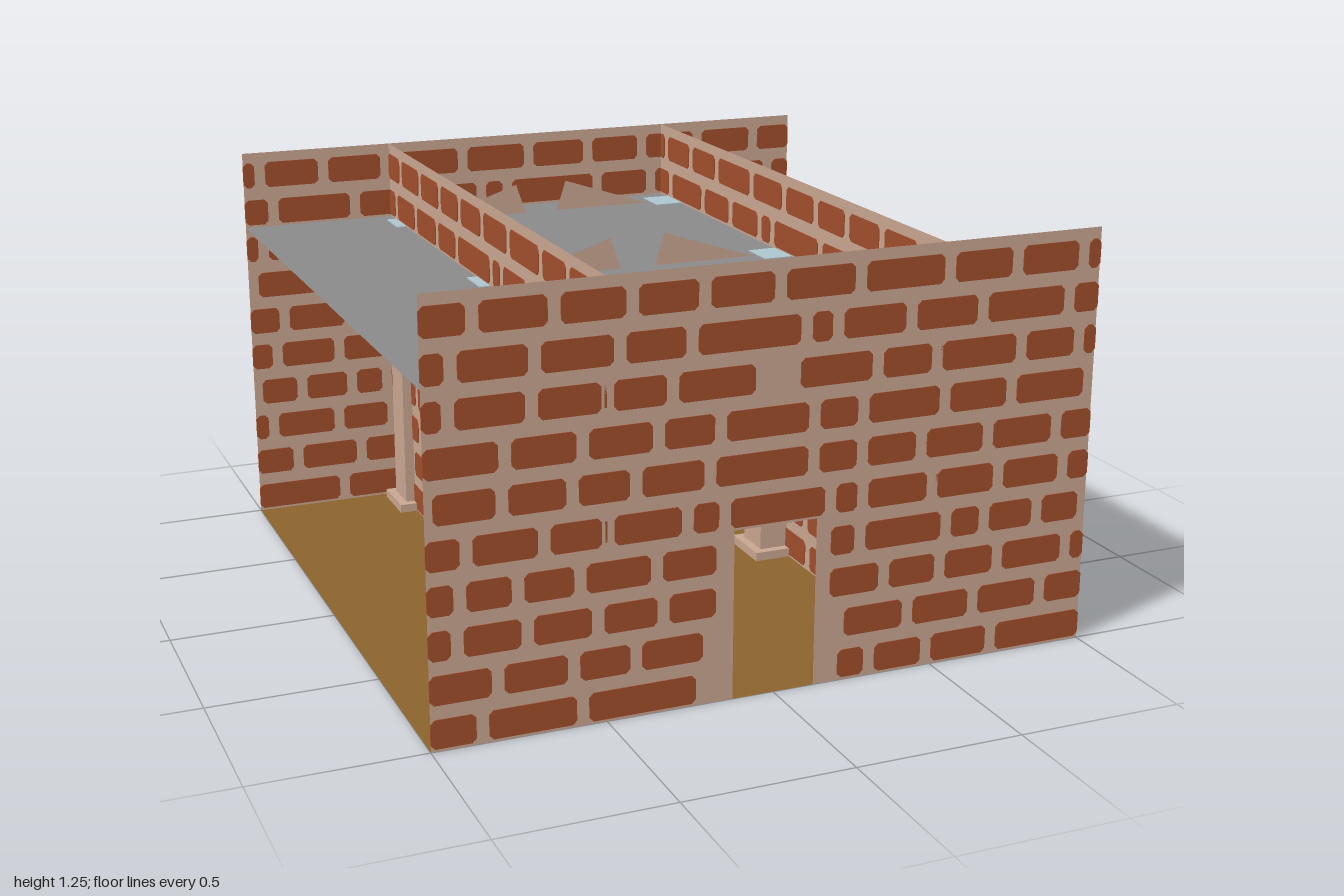
import * as THREE from 'three';
import { mergeGeometries } from 'three/addons/utils/BufferGeometryUtils.js';

const flat = (name, color, side = THREE.FrontSide) => {
  const m = new THREE.MeshStandardMaterial({ color, side });
  m.name = name;
  return m;
};

// Mortar joint positions along each brick course, bottom to top, in hundredths
const JOINTS = [
  [-85.5, -57, -22, 10, 30, 48.5, 70],
  [-81, -59.5, -41.5, -20, 20, 42, 63.5, 86],
  [-92, -72.5, -52.5, -33.5, -10, 15, 34, 52, 71, 94],
  [-91, -75, -57.5, -35.5, -10, 10, 26, 53.5, 66, 83.5, 99],
  [-89, -67.5, -49.5, -26.5, -15.5, 16.5, 26.5, 48.5, 70, 91.5],
  [-99.5, -79, -59.5, -41.5, -20, 11, 26, 44.5, 66, 88.5],
  [-78, -56.5, -35, -17, 11, 26, 51.5, 73, 98.5],
  [-93, -70.5, -49.5, -31, 0, 30, 48.5, 75.5, 94.5],
  [-92, -69.5, -46, -25.5, 8, 17.5, 40, 62.5, 90.5],
  [-86, -64, -42.5, -22, 0, 24, 51.5, 73, 94.5],
];
const HEIGHT = 1.25, COURSE = 0.125, GAP = 0.018, SKIN = 0.006;

function polygon(points) {
  return new THREE.Shape(points.map(([x, y]) => new THREE.Vector2(x, y)));
}

// Thin plate centred on the wall plane, so it shows on both faces
function plate(shape) {
  return new THREE.ExtrudeGeometry(shape, { depth: SKIN, bevelEnabled: false }).translate(0, 0, -SKIN / 2);
}

// Brick with clipped corners
function brick(a, b, y0, y1) {
  const c = Math.min(0.012, (b - a) / 3);
  return plate(polygon([[a + c, y0], [b - c, y0], [b, y0 + c], [b, y1 - c],
    [b - c, y1], [a + c, y1], [a, y1 - c], [a, y0 + c]]));
}

// All bricks of one wall; clear(row) lists the [from, to] spans left bare
function bricks(clear) {
  const list = [];
  JOINTS.forEach((joints, row) => {
    const edges = [-1 - GAP, ...joints.map((j) => j / 100), 1 + GAP];
    let spans = [];
    for (let i = 0; i + 1 < edges.length; i++) {
      spans.push([edges[i] + GAP, edges[i + 1] - GAP]);
    }
    for (const [from, to] of clear(row)) {
      spans = spans.flatMap(([a, b]) => (b <= from || a >= to) ? [[a, b]]
        : [[a, Math.min(b, from)], [Math.max(a, to), b]]);
    }
    const y = 0.008 + row * COURSE;
    for (const [a, b] of spans) if (b - a > 0.015) list.push(brick(a, b, y, y + 0.084));
  });
  return mergeGeometries(list);
}

// Four panes of an arched window
function windowPanes(u) {
  const list = [];
  for (const [inner, outer] of [[-0.026, -0.16], [0.002, 0.16]]) {
    const at = (t) => u + inner + (outer - inner) * t;
    const lower = [[at(0), 0.255], [at(1), 0.255], [at(1), 0.475], [at(0), 0.475]];
    const upper = [[at(0), 0.505], [at(1), 0.505], [at(1), 0.65], [at(0.85), 0.655],
      [at(0.75), 0.69], [at(0.4), 0.705], [at(0.3), 0.735], [at(0), 0.755]];
    list.push(plate(polygon(lower)), plate(polygon(upper)));
  }
  return list;
}

export function createModel() {
  const brickRed = flat('brick red', 0xa04d2b);
  const mortar = flat('mortar', 0xc8a590, THREE.DoubleSide);
  const roofGray = flat('roof gray', 0x8a8a8a, THREE.DoubleSide);
  const floorBrown = flat('floor brown', 0x8b622c, THREE.DoubleSide);
  const glass = flat('window yellow', 0xcdbf69);
  const paleBlue = flat('pale blue', 0xadc5ce);

  const model = new THREE.Group();
  model.name = 'brickHall';
  const add = (parent, name, geometry, material, x = 0, y = 0, z = 0) => {
    const mesh = new THREE.Mesh(geometry, material);
    mesh.name = name;
    mesh.position.set(x, y, z);
    parent.add(mesh);
    return mesh;
  };

  // Front and back walls with a doorway cut up from the ground
  const doorWall = new THREE.ShapeGeometry(polygon([[-1, 0], [-0.125, 0], [-0.125, 0.5],
    [0.125, 0.5], [0.125, 0], [1, 0], [1, HEIGHT], [-1, HEIGHT]]));
  const doorBricks = bricks((row) => {
    if (row < 2) return [[-0.2, 0.2]];
    if (row < 4) return [[-0.18, 0.17]];
    return row === 7 ? [[-0.07, 0.065]] : [];
  });

  // Inner side walls with two windows each
  const sideWall = new THREE.ShapeGeometry(polygon([[-1, 0], [1, 0], [1, HEIGHT], [-1, HEIGHT]]));
  const sideBricks = bricks((row) => {
    if (row < 2 || row > 5) return [];
    const half = row === 5 ? 0.175 : 0.195;
    return [-0.44, 0.44].map((u) => [u - half, u + half]);
  });
  const panes = mergeGeometries([...windowPanes(-0.44), ...windowPanes(0.44)]);

  const walls = [
    ['frontWall', 0, 0, 1], ['backWall', Math.PI, 0, -1],
    ['leftInnerWall', Math.PI / 2, 0.5, 0], ['rightInnerWall', -Math.PI / 2, -0.5, 0],
  ];
  walls.forEach(([name, turn, x, z], i) => {
    const wall = new THREE.Group();
    wall.name = name;
    wall.position.set(x, 0, z);
    wall.rotation.y = turn;
    add(wall, 'mortarSheet', i < 2 ? doorWall : sideWall, mortar);
    add(wall, 'bricks', i < 2 ? doorBricks : sideBricks, brickRed);
    if (i > 1) add(wall, 'windowPanes', panes, glass);
    model.add(wall);
  });

  // Floor and flat roof
  const slab = new THREE.PlaneGeometry(2, 2).rotateX(-Math.PI / 2);
  add(model, 'floor', slab, floorBrown);
  add(model, 'roof', slab, roofGray, 0, 1, 0);

  // Pale strips on one corner of the roof
  for (const z of [0.858, 0.98]) {
    add(model, 'roofStrip', new THREE.BoxGeometry(0.19, 0.006, 0.028), mortar, 0.655, 1, z);
  }

  // Pillars with foot plates and caps, and the sloping ribs between them
  const shaft = new THREE.BoxGeometry(0.125, 0.996, 0.125);
  const foot = new THREE.BoxGeometry(0.18, 0.028, 0.18);
  const cap = new THREE.BoxGeometry(0.125, 0.006, 0.125);
  for (const side of [-1, 1]) {
    const rib = new THREE.ShapeGeometry(polygon(
      [[0.41, 0.993], [0.09, 1.1], [0.027, 0.91], [0.41, 0.78]].map(([x, y]) => [side * x, y])));
    for (const z of [-0.875, 0, 0.875]) {
      const pillar = new THREE.Group();
      pillar.name = 'pillar';
      pillar.position.set(side * 0.47, 0, z);
      add(pillar, 'shaft', shaft, mortar, 0, 0.5, 0);
      add(pillar, 'foot', foot, mortar, 0, 0.016, 0);
      add(pillar, 'cap', cap, paleBlue, 0, 1, 0);
      model.add(pillar);
      add(model, 'rib', rib, mortar, 0, 0, z);
    }
  }
  return model;
}
